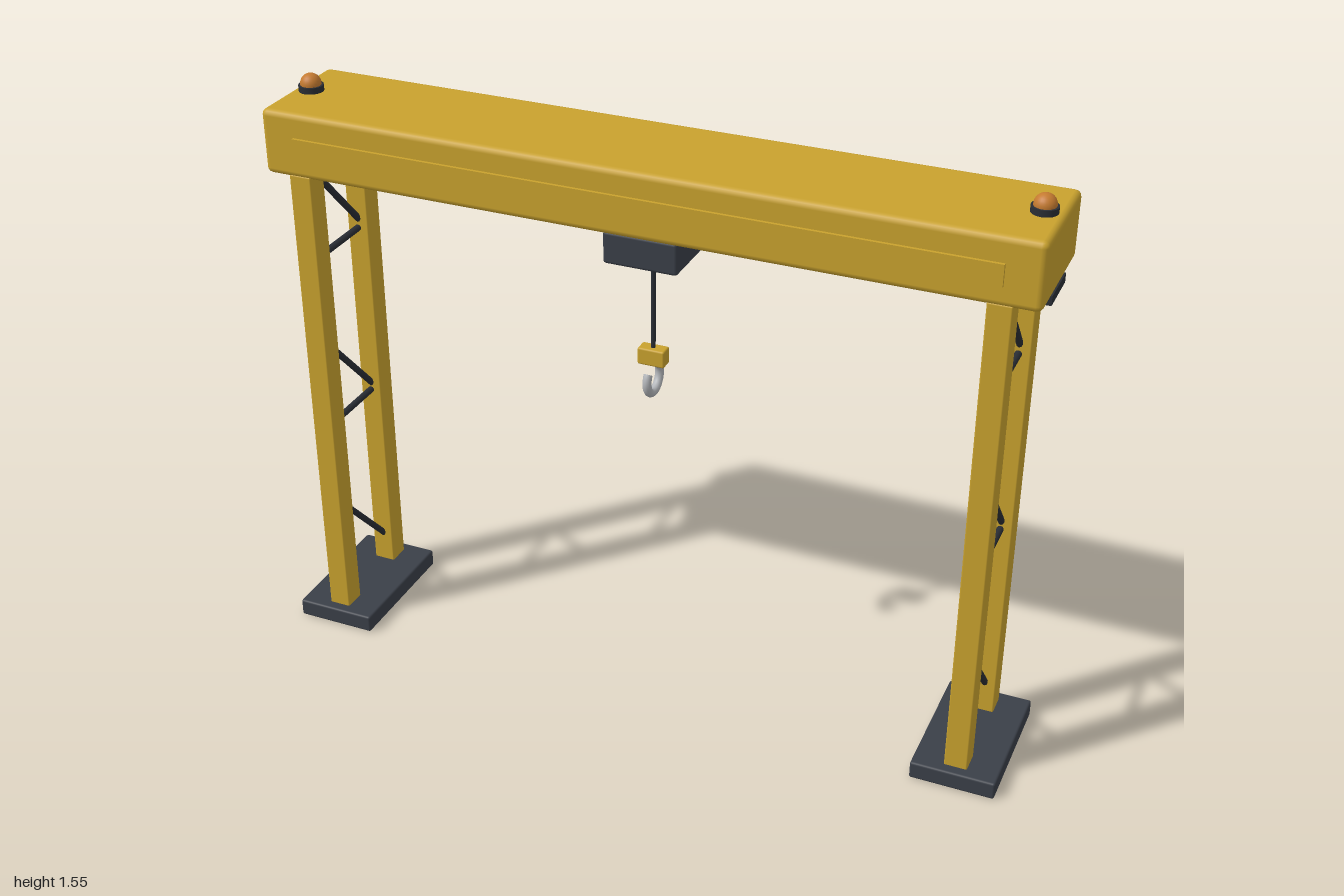
import * as THREE from 'three';
import { RoundedBoxGeometry } from 'three/addons/geometries/RoundedBoxGeometry.js';

const mat = (name, color) => {
  const m = new THREE.MeshStandardMaterial({ color });
  m.name = name;
  return m;
};

export function createModel() {
  const yellow = mat('crane yellow', 0xc9a22e);
  const dark = mat('dark slate', 0x3a3f48);
  const black = mat('steel black', 0x2a2e35);
  const orange = mat('beacon orange', 0xc47a30);
  const silver = mat('hook silver', 0xb4b7bb);

  const model = new THREE.Group();
  model.name = 'gantryCrane';

  const add = (name, geometry, material, x, y, z, parent = model) => {
    const mesh = new THREE.Mesh(geometry, material);
    mesh.name = name;
    mesh.position.set(x, y, z);
    parent.add(mesh);
    return mesh;
  };
  const box = (w, h, d, r) => new RoundedBoxGeometry(w, h, d, 2, r);

  // Round bar between two points
  const bar = (name, a, b, radius, material, parent) => {
    const dir = b.clone().sub(a);
    const mid = a.clone().add(b).multiplyScalar(0.5);
    const mesh = add(name, new THREE.CylinderGeometry(radius, radius, dir.length(), 10),
      material, mid.x, mid.y, mid.z, parent);
    mesh.quaternion.setFromUnitVectors(new THREE.Vector3(0, 1, 0), dir.normalize());
  };

  // Main beam with raised side panels and the rail below it
  add('beam', box(1.97, 0.17, 0.32, 0.016), yellow, 0, 1.425, 0);
  for (const s of [-1, 1]) {
    add('sidePanel', new THREE.BoxGeometry(1.79, 0.055, 0.009), yellow, 0, 1.42, s * 0.1635);
  }
  add('rail', new THREE.BoxGeometry(1.97, 0.024, 0.13), black, 0, 1.33, 0);

  // Leg frames at both ends
  for (const s of [-1, 1]) {
    const frame = new THREE.Group();
    frame.name = s > 0 ? 'leftLegFrame' : 'rightLegFrame';
    frame.position.x = s * 0.89;
    model.add(frame);
    add('foot', box(0.22, 0.048, 0.368, 0.006), dark, 0, 0.024, 0, frame);
    for (const z of [-0.125, 0.125]) {
      add('leg', box(0.06, 1.3, 0.062, 0.004), yellow, 0, 0.695, z, frame);
    }
    for (const y of [0.61, 1.1]) {
      bar('crossBar', new THREE.Vector3(0, y, 0.12), new THREE.Vector3(0, y, -0.12), 0.009, black, frame);
    }
    for (const y of [0.242, 0.737, 1.232]) {
      bar('diagonalBrace', new THREE.Vector3(0, y + 0.125, 0.115),
        new THREE.Vector3(0, y - 0.125, -0.115), 0.009, black, frame);
    }

    // Warning beacon
    add('beaconBase', new THREE.CylinderGeometry(0.032, 0.032, 0.018, 24), black, s * 0.935, 1.517, 0);
    add('beaconDome', new THREE.SphereGeometry(0.027, 24, 16), orange, s * 0.935, 1.528, 0);
  }

  // Trolley with four wheels
  add('trolley', box(0.194, 0.085, 0.17, 0.008), dark, 0, 1.268, 0);
  for (const x of [-0.063, 0.063]) {
    for (const z of [-0.06, 0.06]) {
      add('trolleyWheel', new THREE.CylinderGeometry(0.019, 0.019, 0.018, 20), orange, x, 1.309, z)
        .rotation.x = Math.PI / 2;
    }
  }

  // Cable, hook block and hook
  add('cable', new THREE.CylinderGeometry(0.006, 0.006, 0.27, 10), black, 0, 1.1, 0);
  add('hookBlock', box(0.072, 0.046, 0.038, 0.005), yellow, 0, 0.953, 0);
  const hook = new THREE.Group();
  hook.name = 'hook';
  hook.position.y = 0.89;
  hook.rotation.set(0, Math.PI / 2, THREE.MathUtils.degToRad(145));
  model.add(hook);
  const arc = Math.PI * 1.5;
  add('hookCurve', new THREE.TorusGeometry(0.04, 0.0115, 12, 36, arc), silver, 0, 0, 0, hook);
  // Flat ends that close the curve
  for (const a of [0, arc]) {
    const cap = add('hookEnd', new THREE.CircleGeometry(0.0115, 12), silver,
      0.04 * Math.cos(a), 0.04 * Math.sin(a), 0, hook);
    const sign = a === 0 ? -1 : 1;
    cap.quaternion.setFromUnitVectors(new THREE.Vector3(0, 0, 1),
      new THREE.Vector3(-Math.sin(a) * sign, Math.cos(a) * sign, 0));
  }

  return model;
}
